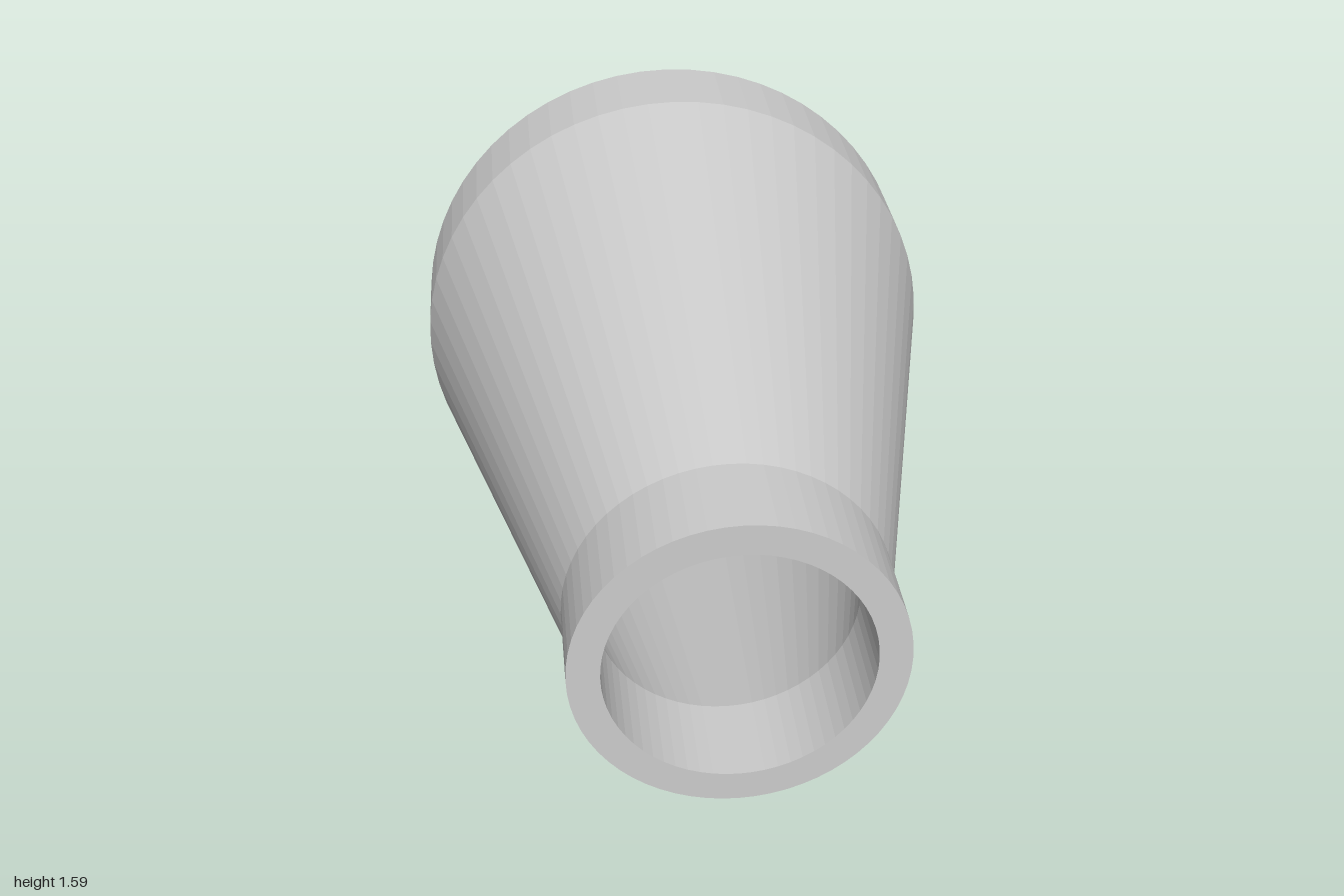
import * as THREE from 'three';

const SEGMENTS = 64;
const LARGE = { outer: 0.793, inner: 0.695 };
const SMALL = { outer: 0.437, inner: 0.351 };
const END = 1, COLLAR = 0.733; // axial positions of the rims and the cone's ends

export function createModel() {
  const group = new THREE.Group();
  group.name = 'pipeReducer';

  // Closed wall section: outside from the wide rim to the narrow rim, back along the bore
  const wall = (side) => [
    [LARGE[side], -END], [LARGE[side], -COLLAR],
    [SMALL[side], COLLAR], [SMALL[side], END],
  ];
  const outside = wall('outer');
  const section = [...outside, ...wall('inner').reverse(), outside[0]]
    .map(([r, y]) => new THREE.Vector2(r, y));

  const geometry = new THREE.LatheGeometry(section, SEGMENTS);
  geometry.rotateX(Math.PI / 2); // narrow end faces the front
  geometry.translate(0, LARGE.outer, 0);

  const material = new THREE.MeshStandardMaterial({ color: 0xcccccc, flatShading: true });
  const reducer = new THREE.Mesh(geometry, material);
  reducer.name = 'reducerWall';
  group.add(reducer);
  return group;
}
